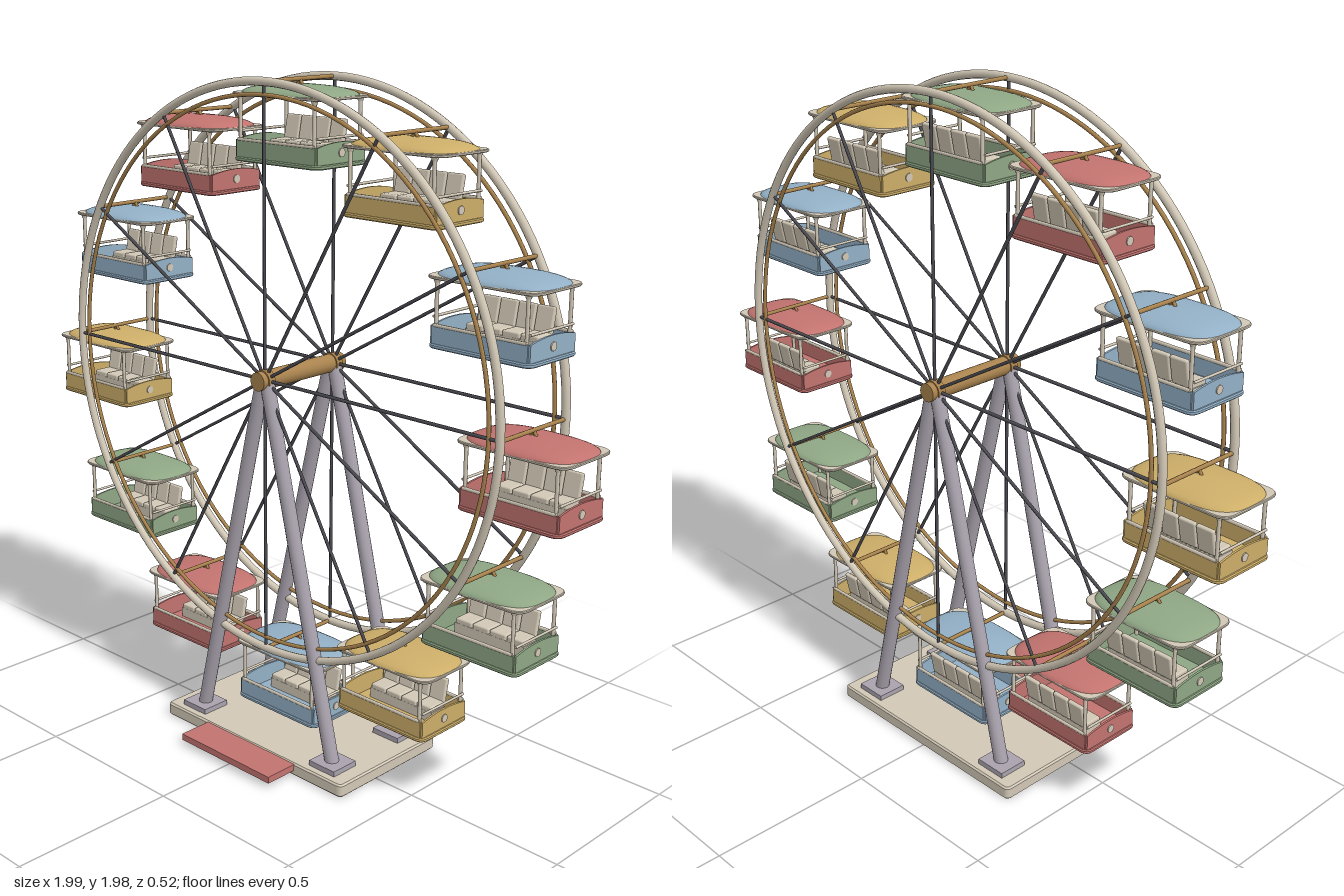
import * as THREE from 'three';
import { mergeVertices } from 'three/addons/utils/BufferGeometryUtils.js';
import { RoundedBoxGeometry } from 'three/addons/geometries/RoundedBoxGeometry.js';

const CZ = -0.052, HUB_Y = 1.147, R = 0.822, HALF = 0.139;
const mat = (color, side = THREE.FrontSide) => new THREE.MeshStandardMaterial({ color, side });

const cream = mat(0xd2c8b6), gold = mat(0xa9834e), steel = mat(0xaaa3ae), dark = mat(0x4b4b52);
const red = mat(0xc2736f), green = mat(0x8fa785), blue = mat(0x93b0c6), yellow = mat(0xcdae69);
const cabinColors = [green, yellow, blue, red];

function add(parent, name, geo, material, x = 0, y = 0, z = 0) {
  const m = new THREE.Mesh(geo, material);
  m.name = name;
  m.position.set(x, y, z);
  parent.add(m);
  return m;
}

// Cylinder running from point a to point b
function rod(parent, name, a, b, r, material, sides = 8) {
  const p = new THREE.Vector3(...a), q = new THREE.Vector3(...b);
  const m = add(parent, name, new THREE.CylinderGeometry(r, r, p.distanceTo(q), sides), material);
  m.position.copy(p).add(q).multiplyScalar(0.5);
  m.quaternion.setFromUnitVectors(new THREE.Vector3(0, 1, 0), q.sub(p).normalize());
  return m;
}

// Flat slab with rounded plan corners, its underside at y = 0
function slab(hx, hz, r, h, bevel = 0.002) {
  const s = new THREE.Shape(), x = hx - bevel, z = hz - bevel;
  s.moveTo(-x + r, -z);
  s.lineTo(x - r, -z); s.quadraticCurveTo(x, -z, x, -z + r);
  s.lineTo(x, z - r); s.quadraticCurveTo(x, z, x - r, z);
  s.lineTo(-x + r, z); s.quadraticCurveTo(-x, z, -x, z - r);
  s.lineTo(-x, -z + r); s.quadraticCurveTo(-x, -z, -x + r, -z);
  const g = new THREE.ExtrudeGeometry(s, {
    depth: h - 2 * bevel, bevelSize: bevel, bevelThickness: bevel, bevelSegments: 1, curveSegments: 5 });
  return g.translate(0, 0, bevel).rotateX(-Math.PI / 2);
}

// Low dome over a superellipse plan
function dome(hx, hz, h) {
  const g = new THREE.SphereGeometry(1, 40, 8, 0, Math.PI * 2, 0, Math.PI / 2);
  const p = g.attributes.position, n = 2 / 3.2;
  for (let i = 0; i < p.count; i++) {
    const x = p.getX(i), z = p.getZ(i), r = Math.hypot(x, z), a = Math.atan2(z, x);
    const c = Math.cos(a), s = Math.sin(a);
    p.setXYZ(i, r * hx * Math.sign(c) * Math.abs(c) ** n, p.getY(i) * h, r * hz * Math.sign(s) * Math.abs(s) ** n);
  }
  g.deleteAttribute('uv');
  g.deleteAttribute('normal');
  const merged = mergeVertices(g, 1e-5);
  merged.computeVertexNormals();
  return merged;
}

// Side panel with a gently arched top edge
function sidePanel(hz, low, high, t) {
  const s = new THREE.Shape();
  s.moveTo(-hz, low);
  s.lineTo(hz, low);
  s.lineTo(hz, high);
  s.quadraticCurveTo(0, high + 0.022, -hz, high);
  return new THREE.ExtrudeGeometry(s, { depth: t, bevelEnabled: false, curveSegments: 8 })
    .translate(0, 0, -t / 2).rotateY(Math.PI / 2);
}

const parts = {
  roof: slab(0.174, 0.109, 0.04, 0.008),
  dome: dome(0.172, 0.109, 0.027),
  floor: slab(0.163, 0.104, 0.025, 0.012, 0.003),
  side: sidePanel(0.094, -0.214, -0.168, 0.006),
  panel: new THREE.BoxGeometry(0.3, 0.047, 0.006),
  cushion: new RoundedBoxGeometry(0.054, 0.018, 0.06, 2, 0.005),
  back: new RoundedBoxGeometry(0.054, 0.075, 0.014, 2, 0.005),
  medallion: new THREE.CylinderGeometry(0.012, 0.012, 0.004, 14).rotateZ(Math.PI / 2),
};

// One cabin, with its origin at the pivot bar
function cabin(color) {
  const g = new THREE.Group();
  add(g, 'canopyRim', parts.roof, cream, 0, -0.046);
  add(g, 'canopyDome', parts.dome, color, 0, -0.04);
  add(g, 'cabinFloor', parts.floor, color, 0, -0.226);
  add(g, 'bench', new THREE.BoxGeometry(0.23, 0.03, 0.06), cream, 0, -0.199, -0.025);
  for (let i = 0; i < 4; i++) {
    const x = (i - 1.5) * 0.057;
    add(g, 'seatCushion', parts.cushion, cream, x, -0.178, -0.025);
    add(g, 'seatBack', parts.back, cream, x, -0.142, -0.062).rotation.x = -0.2;
  }
  for (const s of [-1, 1]) {
    add(g, 'longPanel', parts.panel, color, 0, -0.191, s * 0.095);
    add(g, 'sidePanel', parts.side, color, s * 0.153, 0, 0);
    add(g, 'medallion', parts.medallion, cream, s * 0.157, -0.186, 0);
    rod(g, 'longRail', [-0.145, -0.166, s * 0.095], [0.145, -0.166, s * 0.095], 0.005, cream, 6);
    rod(g, 'sideRail', [s * 0.15, -0.145, -0.09], [s * 0.15, -0.145, 0.09], 0.004, cream, 6);
    rod(g, 'bracket', [s * 0.012, -0.02, 0], [0, 0, 0], 0.005, gold, 6);
    for (const t of [-1, 1]) {
      rod(g, 'post', [s * 0.141, -0.215, t * 0.09], [s * 0.141, -0.042, t * 0.09], 0.0055, cream);
      add(g, 'postCollar', new THREE.CylinderGeometry(0.01, 0.007, 0.01, 8), cream, s * 0.141, -0.051, t * 0.09);
    }
  }
  return g;
}

export function createModel() {
  const model = new THREE.Group();
  model.name = 'ferrisWheel';

  // Platform and entry step
  add(model, 'platform', slab(0.37, 0.21, 0.012, 0.04, 0.005), cream, 0, 0, CZ);
  add(model, 'entryStep', new THREE.BoxGeometry(0.37, 0.02, 0.115), red, 0, 0.027, 0.2045);

  // Wheel
  const wheel = new THREE.Group();
  wheel.name = 'wheel';
  wheel.position.set(0, HUB_Y, CZ);
  model.add(wheel);
  rod(wheel, 'hub', [0, 0, -0.169], [0, 0, 0.169], 0.027, gold, 24);
  for (const s of [-1, 1]) {
    const z = s * HALF;
    add(wheel, 'outerRim', new THREE.TorusGeometry(R, 0.012, 10, 120), cream, 0, 0, z);
    add(wheel, 'innerRim', new THREE.TorusGeometry(0.787, 0.006, 8, 120), gold, 0, 0, z);
    rod(wheel, 'hubCollar', [0, 0, z - 0.012], [0, 0, z + 0.012], 0.031, gold, 24);
  }

  for (let i = 0; i < 12; i++) {
    const a = i * Math.PI / 6, x = Math.sin(a) * R, y = Math.cos(a) * R;
    for (const s of [-1, 1]) rod(wheel, 'spoke', [0, 0, s * HALF], [x, y, s * HALF], 0.005, dark, 6);
    rod(wheel, 'crossBar', [x, y, -HALF], [x, y, HALF], 0.006, gold);
    const c = cabin(cabinColors[i % 4]);
    c.name = 'cabin';
    c.position.set(x, y, 0);
    wheel.add(c);
  }

  // A-frame legs on foot plates
  for (const s of [-1, 1]) for (const t of [-1, 1]) {
    const z = CZ + s * HALF;
    rod(model, 'leg', [t * 0.272, 0.045, z], [t * 0.008, HUB_Y, z], 0.021, steel, 16);
    add(model, 'footPlate', new THREE.BoxGeometry(0.098, 0.017, 0.092), steel, t * 0.272, 0.0475, z);
  }
  return model;
}
